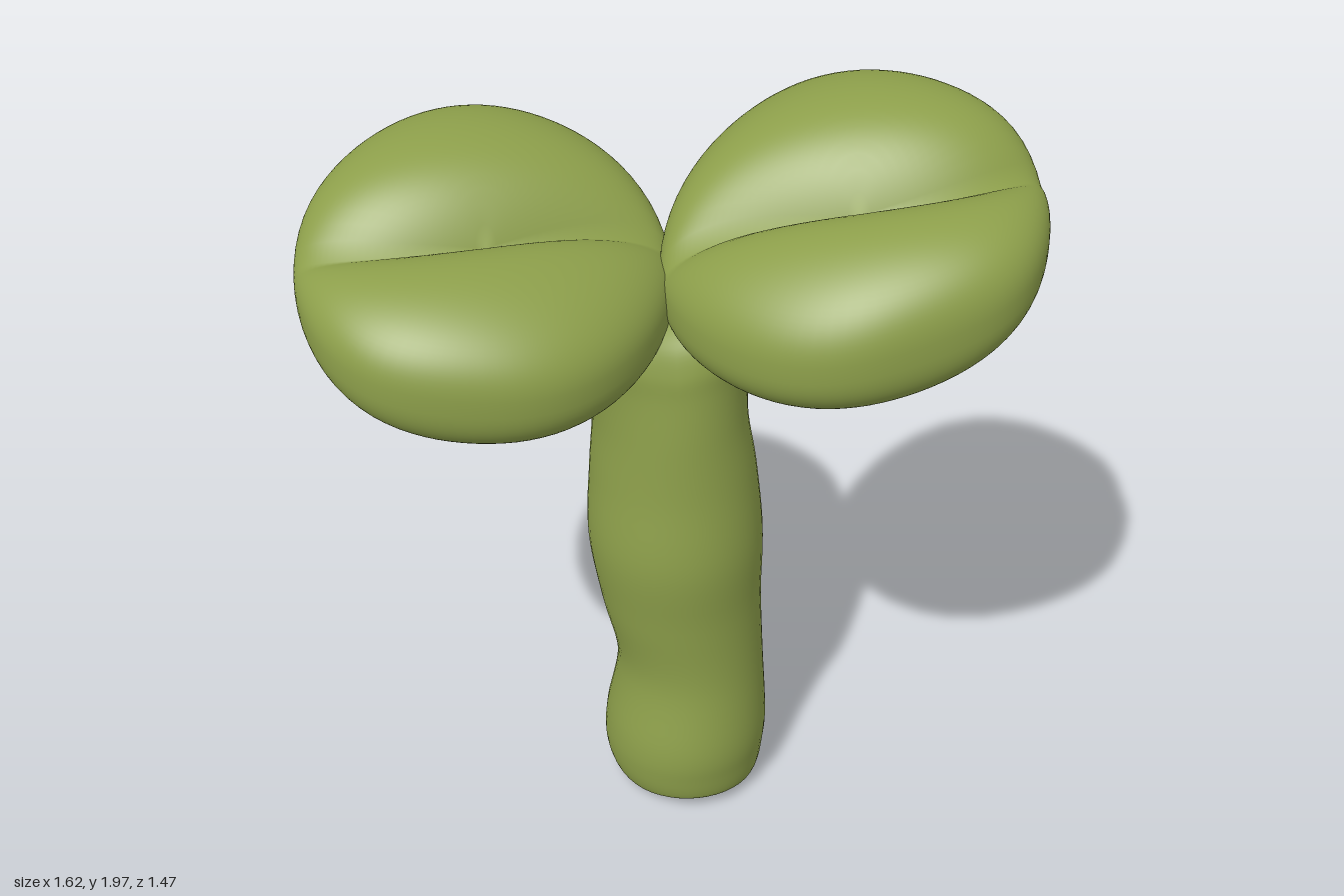
import * as THREE from 'three';
import { mergeVertices } from 'three/addons/utils/BufferGeometryUtils.js';

const leafGreen = new THREE.MeshStandardMaterial({ color: 0x8c9e4a });
leafGreen.name = 'leafGreen';
const darkCut = new THREE.MeshStandardMaterial({ color: 0x17140b });
darkCut.name = 'darkCut';

const CUT_SLOPE = 0.09; // the foot is cut slightly askew
const cutHeight = z => 0.014 + CUT_SLOPE * z;

// Puffy two-lobed leaf. dir is the side it grows to (local x); the local -z lobe is the bigger one.
function leaf(name, { dir, x, y, z, rise, tilt, offset, bigLobe, smallLobe }) {
  let geo = new THREE.SphereGeometry(1, 80, 56);
  geo.deleteAttribute('uv');
  geo.deleteAttribute('normal');
  geo = mergeVertices(geo, 1e-5);
  const pos = geo.attributes.position;
  const R = 0.46;
  for (let i = 0; i < pos.count; i++) {
    const s = pos.getX(i) * dir, v = pos.getY(i), w = pos.getZ(i);
    // outline: round outside, slightly pinched toward the stem; the midrib bends toward +z
    const width = 1 - 0.12 * Math.max(0, -s) ** 2;
    const bend = offset * (1 - w * w) * (0.5 + 0.5 * s) * (1 - 0.75 * s * s);
    const out = R * s;
    const across = R * width * (w + bend);
    // thickness: full lobes above with a sharp midrib crease, smooth below
    const puff = Math.abs(v) ** 0.8;
    let h;
    if (v > 0) {
      const lobe = w < 0 ? bigLobe : smallLobe;
      h = puff * (lobe - (lobe - 0.12) * Math.exp(-Math.abs(w) / 0.2));
    } else {
      h = -puff * 0.215;
    }
    pos.setXYZ(i, dir * (x + out), y + h + rise * out + tilt * across, z + across);
  }
  geo.computeVertexNormals();
  const mesh = new THREE.Mesh(geo, leafGreen);
  mesh.name = name;
  return mesh;
}

// Lumpy stem lofted from ellipses; its top spreads into a saddle under both leaves.
function stem() {
  // [y, centre x, centre z, radius x, radius z, lift toward the leaves]
  const rows = [
    [0.00, 0.055, 0.01, 0.175, 0.185, 0], [0.03, 0.05, 0.01, 0.205, 0.222, 0],
    [0.1, 0.046, 0.005, 0.222, 0.242, 0], [0.2, 0.05, 0.01, 0.222, 0.24, 0],
    [0.4, 0.06, 0.012, 0.2, 0.207, 0], [0.6, 0.035, 0.007, 0.216, 0.216, 0],
    [0.8, 0.02, -0.003, 0.232, 0.24, 0], [1.0, 0.014, -0.01, 0.218, 0.222, 0],
    [1.17, 0.005, -0.005, 0.2, 0.2, 0], [1.28, 0, -0.005, 0.215, 0.185, 0.02],
    [1.35, 0, 0, 0.27, 0.17, 0.05], [1.42, 0, 0, 0.35, 0.14, 0.07],
    [1.465, 0, 0, 0.37, 0.08, 0.07], [1.48, 0, 0, 0.3, 0, 0.05],
  ];
  const curve = (a, b, c) => new THREE.CatmullRomCurve3(
    rows.map(r => new THREE.Vector3(r[a], r[b], r[c])), false, 'catmullrom', 0.5);
  const centre = curve(1, 0, 2), size = curve(3, 5, 4);
  const N = 48, M = 78, verts = [], index = [];
  for (let j = 0; j <= M; j++) {
    const c = centre.getPoint(j / M), r = size.getPoint(j / M);
    for (let i = 0; i < N; i++) {
      const t = (i / N) * Math.PI * 2, cs = Math.cos(t), sn = Math.sin(t);
      const z = c.z + r.z * sn;
      verts.push(c.x + r.x * cs, Math.max(cutHeight(z), c.y + r.y * Math.abs(cs)), z);
      if (j < M) {
        const a = j * N + i, b = j * N + (i + 1) % N;
        index.push(a, a + N, b, b, a + N, b + N);
      }
    }
  }
  const geo = new THREE.BufferGeometry();
  geo.setAttribute('position', new THREE.Float32BufferAttribute(verts, 3));
  geo.setIndex(index);
  geo.computeVertexNormals();
  const mesh = new THREE.Mesh(geo, leafGreen);
  mesh.name = 'stem';
  return mesh;
}

export function createModel() {
  const model = new THREE.Group();
  model.name = 'sprout';

  // The leaves spread along one diagonal
  const plant = new THREE.Group();
  plant.name = 'plant';
  plant.rotation.y = Math.PI / 4;
  plant.add(stem());
  plant.add(leaf('upperLeaf', {
    dir: 1, x: 0.435, y: 1.645, z: 0.045, rise: 0.24, tilt: -0.22, offset: 0.42, bigLobe: 0.315, smallLobe: 0.22,
  }));
  plant.add(leaf('lowerLeaf', {
    dir: -1, x: 0.44, y: 1.565, z: -0.055, rise: 0.07, tilt: -0.27, offset: 0.34, bigLobe: 0.3, smallLobe: 0.2,
  }));

  // Dark cut at the foot of the stem
  const cut = new THREE.Mesh(new THREE.CircleGeometry(1, 48), darkCut);
  cut.name = 'stemCut';
  cut.scale.set(0.18, 0.19, 1);
  cut.rotation.x = Math.PI / 2 - CUT_SLOPE;
  cut.position.set(0.055, cutHeight(0.01) - 0.002, 0.01);
  plant.add(cut);

  model.add(plant);
  return model;
}
